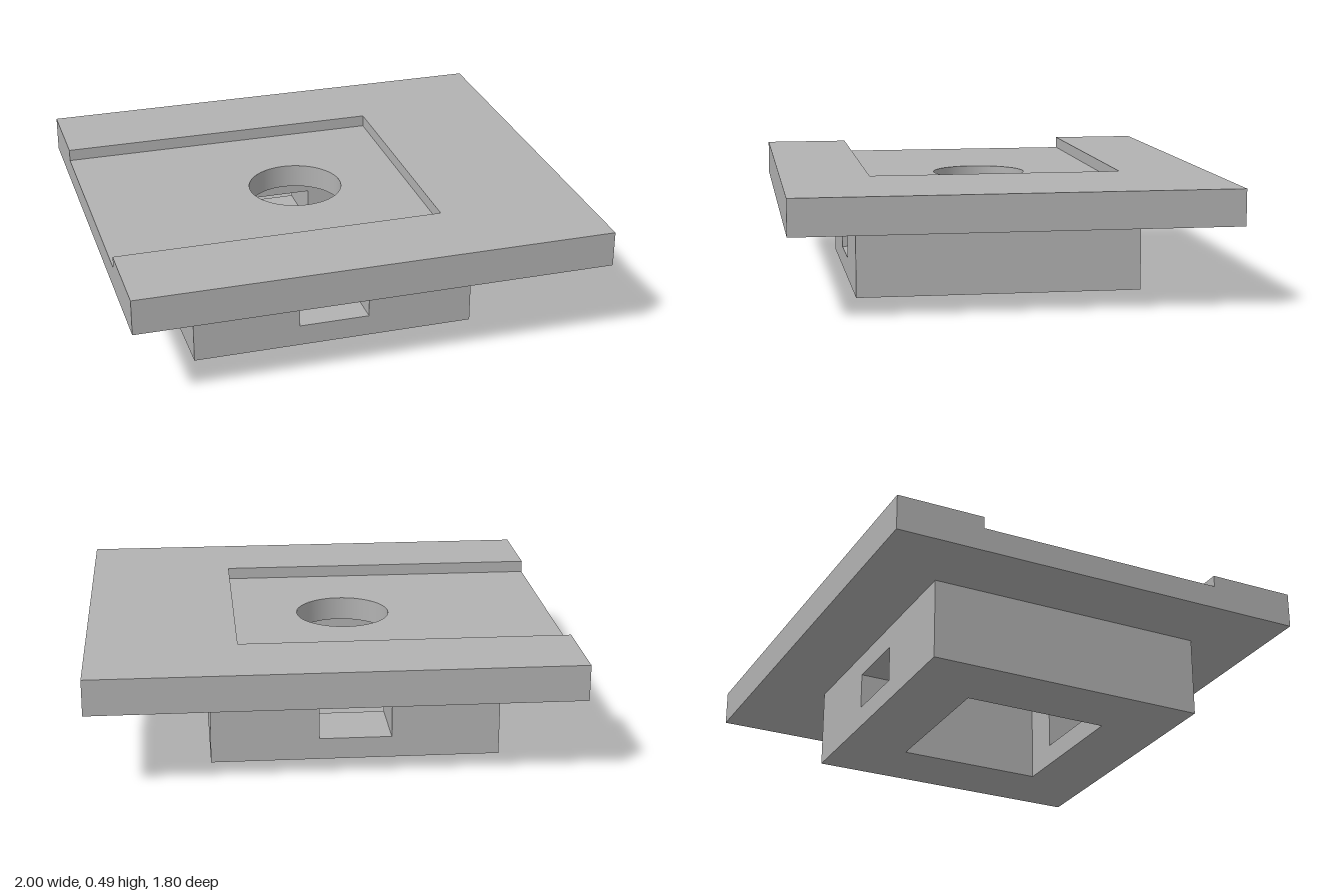
import * as THREE from 'three';

const grey = new THREE.MeshStandardMaterial({ color: 0xb2b2b2 });
grey.name = 'plain grey';

// Turn a surface inside out
function flip(geo) {
  const ix = geo.index.array;
  for (let i = 0; i < ix.length; i += 3) [ix[i], ix[i + 1]] = [ix[i + 1], ix[i]];
  const n = geo.attributes.normal.array;
  for (let i = 0; i < n.length; i++) n[i] = -n[i];
  return geo;
}

function trace(target, pts) {
  target.setFromPoints(pts.map(([a, b]) => new THREE.Vector2(a, b)));
  return target;
}
const corners = (a0, b0, a1, b1) => [[a0, b0], [a1, b0], [a1, b1], [a0, b1]];
const poly = (pts, hole) => {
  const s = trace(new THREE.Shape(), pts);
  if (hole) s.holes.push(hole);
  return s;
};
const rect = (a0, b0, a1, b1, hole) => poly(corners(a0, b0, a1, b1), hole);

// Flat face across an axis at a given offset, facing along dir (+1 / -1)
function face(group, name, shape, axis, at, dir) {
  const geo = new THREE.ShapeGeometry(shape, 48);
  if (axis === 'x') geo.rotateY(Math.PI / 2).translate(at, 0, 0);
  if (axis === 'y') geo.rotateX(-Math.PI / 2).translate(0, at, 0);
  if (axis === 'z') geo.translate(0, 0, at);
  if (dir < 0) flip(geo);
  const mesh = new THREE.Mesh(geo, grey);
  mesh.name = name;
  group.add(mesh);
}

export function createModel() {
  const model = new THREE.Group();
  model.name = 'mountingPlate';
  const under = 0.34, floor = 0.44, top = 0.49;

  // Plate with a recess open to the -x edge and a round bore
  const plate = new THREE.Group();
  plate.name = 'plate';
  const X = 1, Z = 0.9, rx = 0.38, rz = 0.53, cx = -0.1, r = 0.2;
  const bore = () => new THREE.Path().absarc(cx, 0, r, 0, Math.PI * 2, true);
  face(plate, 'plateUnderside', rect(-X, -Z, X, Z, bore()), 'y', under, -1);
  face(plate, 'recessFloor', rect(-X, -rz, rx, rz, bore()), 'y', floor, 1);
  face(plate, 'plateTop', poly([[-X, -Z], [X, -Z], [X, Z], [-X, Z], [-X, rz], [rx, rz], [rx, -rz], [-X, -rz]]), 'y', top, 1);
  face(plate, 'plateClosedEdge', rect(-Z, under, Z, top), 'x', X, 1);
  face(plate, 'plateOpenEdge', poly([[-Z, under], [Z, under], [Z, top], [rz, top], [rz, floor], [-rz, floor], [-rz, top], [-Z, top]]), 'x', -X, -1);
  face(plate, 'recessEnd', rect(-rz, floor, rz, top), 'x', rx, -1);
  for (const s of [-1, 1]) {
    face(plate, 'plateSide', rect(-X, under, X, top), 'z', s * Z, s);
    face(plate, 'recessSide', rect(-X, floor, rx, top), 'z', s * rz, -s);
  }
  const wall = flip(new THREE.CylinderGeometry(r, r, floor - under, 64, 1, true));
  const boreWall = new THREE.Mesh(wall.translate(cx, (floor + under) / 2, 0), grey);
  boreWall.name = 'boreWall';
  plate.add(boreWall);

  // Hollow block below, slotted from front to back
  const block = new THREE.Group();
  block.name = 'block';
  const h = 0.6, p = 0.315, sx = 0.15, y0 = 0.09, y1 = 0.245;
  const slot = () => trace(new THREE.Path(), corners(cx - sx, y0, cx + sx, y1));
  const pocket = trace(new THREE.Path(), corners(cx - p, -p, cx + p, p));
  face(block, 'blockBottom', rect(cx - h, -h, cx + h, h, pocket), 'y', 0, -1);
  for (const s of [-1, 1]) {
    face(block, 'blockEnd', rect(-h, 0, h, under), 'x', cx + s * h, s);
    face(block, 'pocketEnd', rect(-p, 0, p, under), 'x', cx + s * p, -s);
    face(block, 'blockSide', rect(cx - h, 0, cx + h, under, slot()), 'z', s * h, s);
    face(block, 'pocketSide', rect(cx - p, 0, cx + p, under, slot()), 'z', s * p, -s);
    // Tunnel walls of the slot through this side
    const a = s > 0 ? p : -h, b = s > 0 ? h : -p;
    face(block, 'slotFloor', rect(cx - sx, a, cx + sx, b), 'y', y0, 1);
    face(block, 'slotRoof', rect(cx - sx, a, cx + sx, b), 'y', y1, -1);
    for (const t of [-1, 1]) face(block, 'slotSide', rect(a, y0, b, y1), 'x', cx + t * sx, -t);
  }

  model.add(plate, block);
  return model;
}
